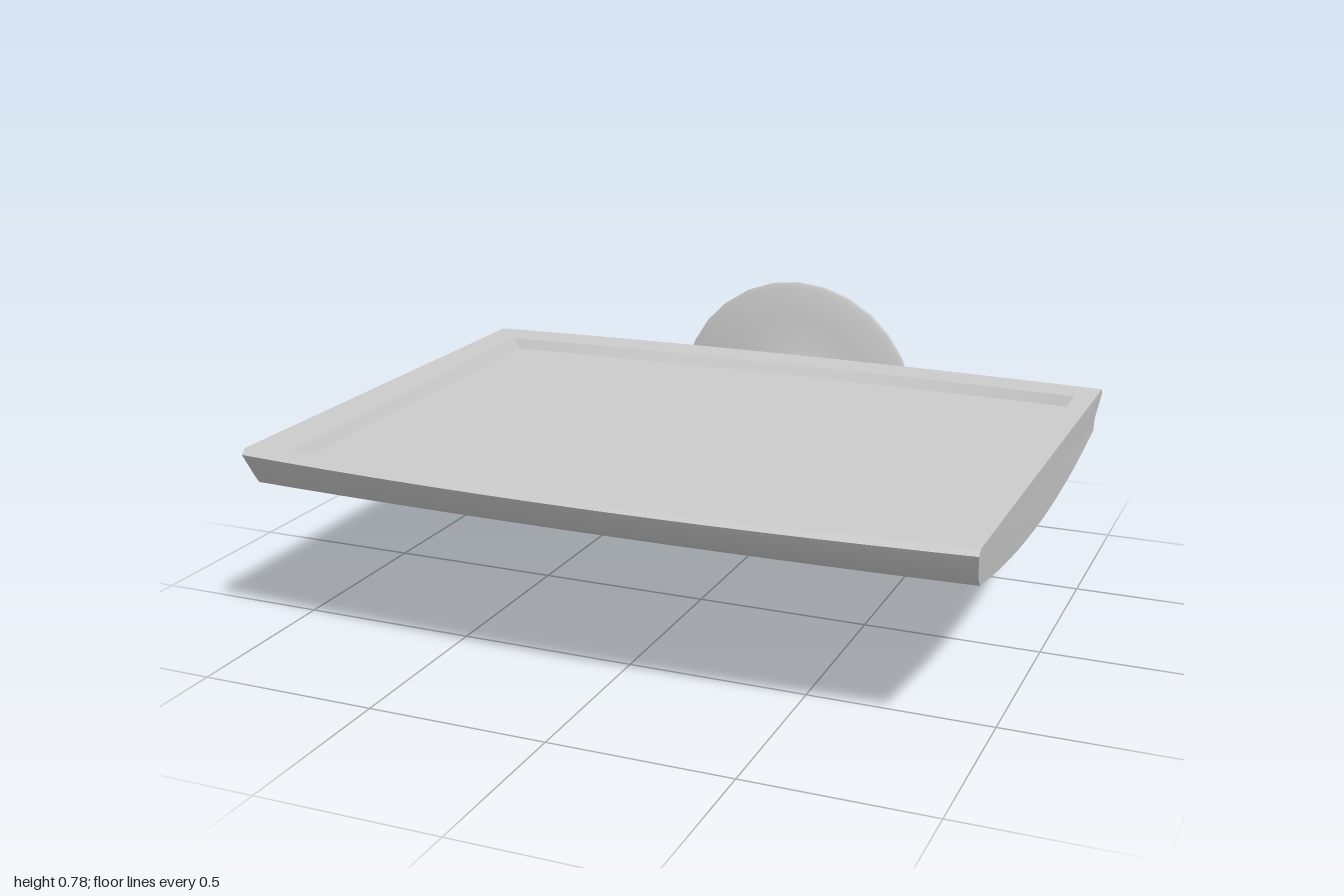
import * as THREE from 'three';
import { toCreasedNormals } from 'three/addons/utils/BufferGeometryUtils.js';

const material = new THREE.MeshStandardMaterial({ color: 0xcccccc });
const SEG = 16;
const xs = Array.from({ length: SEG + 1 }, (_, i) => -1 + (2 * i) / SEG);
const bow = (x) => 1 - x * x;

// Skins rows of [x, y, z] points; closed joins each row to a loop, caps fans the end rows.
function loft(rows, { closed = false, caps = false, crease = 0.5 } = {}) {
  const pos = [];
  const tri = (a, b, c) => pos.push(...a, ...b, ...c);
  const n = rows[0].length;
  for (let i = 0; i < rows.length - 1; i++) {
    for (let j = 0; j < (closed ? n : n - 1); j++) {
      const k = (j + 1) % n;
      tri(rows[i][j], rows[i][k], rows[i + 1][k]);
      tri(rows[i][j], rows[i + 1][k], rows[i + 1][j]);
    }
  }
  if (caps) {
    const first = rows[0], last = rows[rows.length - 1];
    for (let j = 1; j < n - 1; j++) {
      tri(first[0], first[j + 1], first[j]);
      tri(last[0], last[j], last[j + 1]);
    }
  }
  const geo = new THREE.BufferGeometry();
  geo.setAttribute('position', new THREE.Float32BufferAttribute(pos, 3));
  return toCreasedNormals(geo, crease);
}

// Extrudes a (z, y) outline across x, centred on x = 0.
function sideExtrude(outline, width, hole) {
  const shape = new THREE.Shape(outline.map(([z, y]) => new THREE.Vector2(z, y)));
  if (hole) shape.holes.push(new THREE.Path().absarc(hole[0], hole[1], hole[2], 0, Math.PI * 2, true));
  const geo = new THREE.ExtrudeGeometry(shape, { depth: width, bevelEnabled: false, curveSegments: 10 });
  return geo.translate(0, 0, -width / 2).rotateY(-Math.PI / 2);
}

function add(group, name, geometry) {
  const mesh = new THREE.Mesh(geometry, material);
  mesh.name = name;
  group.add(mesh);
  return mesh;
}

// Display housing with a bowed back, front and rear edge
const frontEdge = (x) => 0.775 + 0.047 * bow(x);
const rearEdge = (x) => -0.7 - 0.037 * bow(x);

function housingSection(x) {
  const f = frontEdge(x), r = rearEdge(x);
  const low = x * 0.992;
  const pts = [[x, 0.565, f - 0.015], [x, 0.55, f], [low, 0.485, f - 0.035]];
  for (let i = 0; i <= 14; i++) {
    const z = THREE.MathUtils.lerp(f - 0.055, r + 0.06, i / 14);
    pts.push([low, 0.397 + 0.125 * (z - 0.02) ** 2, z]);
  }
  pts.push([low, 0.485, r + 0.05], [x, 0.55, r], [x, 0.565, r + 0.01]);
  return pts;
}

// Rear and front edge points of one frame outline, both from left to right
function frameEdges(y, leftRear, leftFront, right, rearZ, frontZ) {
  const edge = (left, zOf) => xs.map((t) =>
    [THREE.MathUtils.lerp(left, right, (t + 1) / 2), y, zOf(t)]);
  return { rear: edge(leftRear, rearZ), front: edge(leftFront, frontZ) };
}
const ring = ({ rear, front }) => [...rear, ...front.slice().reverse()];

function createDisplay() {
  const display = new THREE.Group();
  display.name = 'display';
  add(display, 'housing', loft(xs.map(housingSection), { caps: true }).clone());

  const outer = frameEdges(0.565, -1, -1, 1, (t) => rearEdge(t) + 0.01, (t) => frontEdge(t) - 0.015);
  const inner = frameEdges(0.565, -0.9, -0.87, 0.94, (t) => -0.582 - 0.03 * bow(t), () => 0.738);
  const floor = frameEdges(0.535, -0.88, -0.855, 0.93, (t) => -0.572 - 0.02 * bow(t), () => 0.7);
  add(display, 'bezel', loft([ring(floor), ring(inner), ring(outer)], { closed: true, crease: 0.3 }));
  add(display, 'screen', loft([floor.front, floor.rear]));
  return display;
}

// Eight-sided loop of the arm at depth z
function armSection([z, low, high, half]) {
  return Array.from({ length: 8 }, (_, i) => {
    const a = ((i + 0.5) / 8) * Math.PI * 2;
    const s = 1 / Math.cos(Math.PI / 8);
    return [half * s * Math.cos(a), (low + high) / 2 + ((high - low) / 2) * s * Math.sin(a), z];
  });
}

function createStand() {
  const stand = new THREE.Group();
  stand.name = 'stand';

  // Round base with a shallow flare towards the neck
  const profile = [[0, -0.825], [0.375, -0.825], [0.39, -0.818], [0.39, -0.803], [0.375, -0.797],
    [0.28, -0.788], [0.2, -0.777], [0.13, -0.763], [0.08, -0.745], [0, -0.74]];
  const base = new THREE.LatheGeometry(profile.map(([r, h]) => new THREE.Vector2(r, h)), 28);
  base.rotateX(Math.PI / 2).translate(0, 0.39, 0);
  add(stand, 'base', toCreasedNormals(base, 0.5));

  // Tapering arm from the base to the mounting plate
  const arm = [[-0.785, 0.25, 0.5, 0.12], [-0.75, 0.305, 0.48, 0.085], [-0.71, 0.332, 0.47, 0.07],
    [-0.62, 0.348, 0.455, 0.055], [-0.5, 0.362, 0.435, 0.05], [-0.38, 0.368, 0.42, 0.065],
    [-0.33, 0.372, 0.42, 0.08]];
  add(stand, 'arm', loft(arm.map(armSection), { closed: true, caps: true, crease: 0.2 }));

  // Mounting plate under the display, narrower at its lower face
  const plate = sideExtrude([[-0.26, 0.41], [-0.46, 0.435], [-0.44, 0.385], [-0.34, 0.372]], 0.52);
  const p = plate.attributes.position;
  for (let i = 0; i < p.count; i++) if (p.getY(i) < 0.4) p.setX(i, p.getX(i) * 0.84);
  plate.computeVertexNormals();
  add(stand, 'mountingPlate', plate);

  // Hinge lug with a pivot hole
  const lug = [[-0.795, 0.43], [-0.68, 0.43], [-0.66, 0.47], [-0.69, 0.548], [-0.755, 0.548],
    [-0.775, 0.52], [-0.795, 0.56]];
  add(stand, 'hingeLug', sideExtrude(lug, 0.14, [-0.72, 0.5, 0.032]));
  return stand;
}

export function createModel() {
  const model = new THREE.Group();
  model.name = 'monitor';
  model.add(createDisplay(), createStand());
  return model;
}
